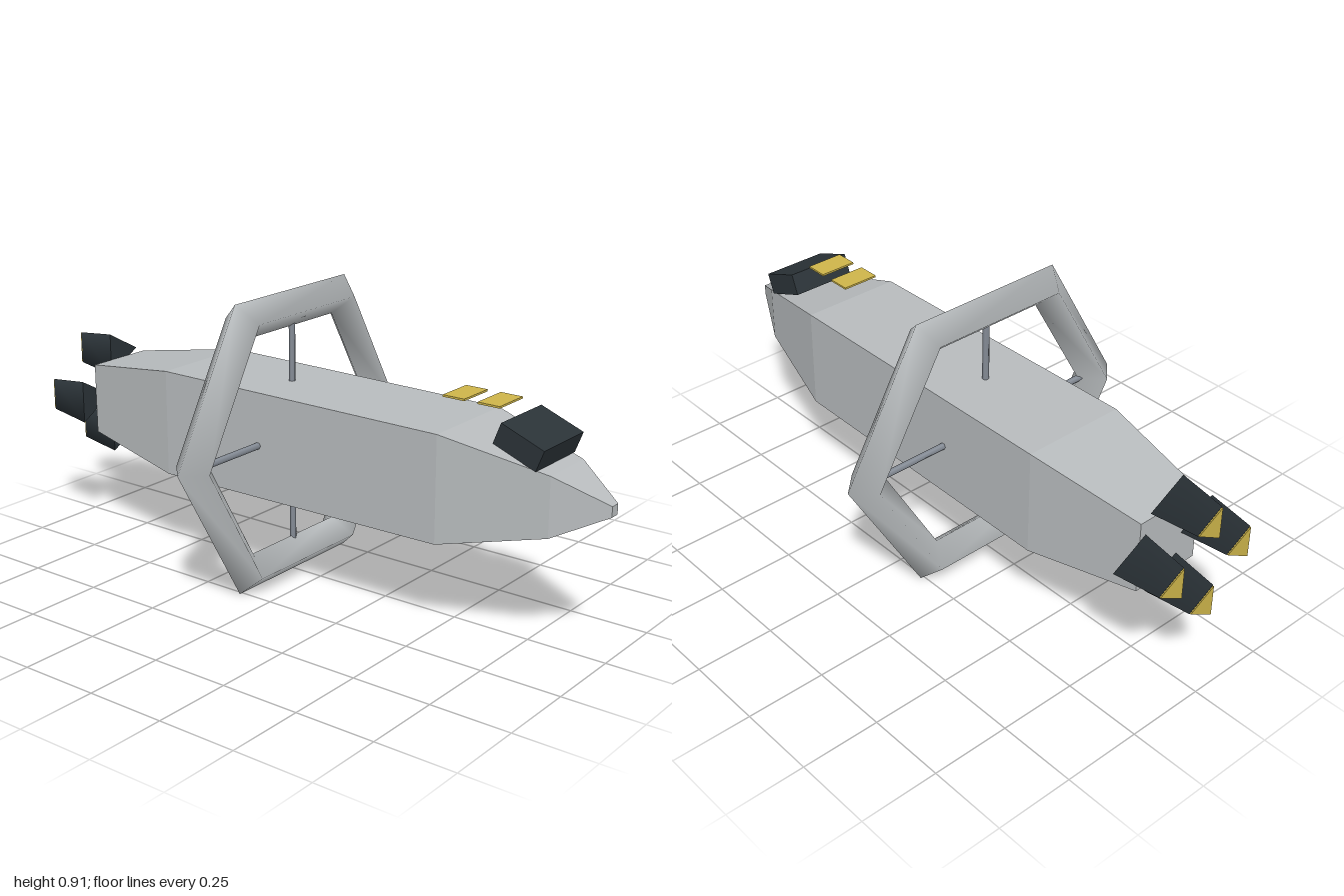
import * as THREE from 'three';

const material = (name, color) => {
  const m = new THREE.MeshStandardMaterial({ color });
  m.name = name;
  return m;
};

export function createModel() {
  const hullGrey = material('hullGrey', 0xb8bcbe);
  const strutGrey = material('strutGrey', 0x868d97);
  const darkSlate = material('darkSlate', 0x2b3338);
  const gold = material('gold', 0xceb54a);

  const AXIS_Y = 0.456;
  const RING_Z = -0.11;
  const ship = new THREE.Group();
  ship.name = 'spaceship';

  const add = (name, geometry, mat, x, y, z) => {
    const mesh = new THREE.Mesh(geometry, mat);
    mesh.name = name;
    mesh.position.set(x, y, z);
    ship.add(mesh);
    return mesh;
  };

  // Hull: a square tube lofted through [z, half width] stations, faceted
  const stations = [[-0.85, 0.115], [-0.48, 0.169], [0.53, 0.163], [0.85, 0.09], [1, 0.016]];
  let hull = new THREE.BoxGeometry(2, 2, 4, 1, 1, 4);
  const pos = hull.attributes.position;
  for (let i = 0; i < pos.count; i++) {
    const [z, half] = stations[Math.round(pos.getZ(i) + 2)];
    pos.setXYZ(i, pos.getX(i) * half, pos.getY(i) * half, z);
  }
  hull = hull.toNonIndexed();
  hull.computeVertexNormals();
  add('hull', hull, hullGrey, 0, AXIS_Y, 0);

  // Six-sided habitat ring
  add('ring', new THREE.TorusGeometry(0.458, 0.065, 4, 6), hullGrey, 0, AXIS_Y, RING_Z);

  // Four spokes and four three-sided engines around the long axis
  for (let i = 0; i < 4; i++) {
    const angle = i * Math.PI / 2;
    const cx = Math.cos(angle);
    const cy = Math.sin(angle);

    const reach = i % 2 ? 0.39 : 0.44;
    const spoke = add('spoke', new THREE.CylinderGeometry(0.0105, 0.0105, reach, 6), strutGrey,
      cx * reach / 2, AXIS_Y + cy * reach / 2, RING_Z);
    spoke.rotation.z = angle - Math.PI / 2;

    const ex = cx * 0.133;
    const ey = AXIS_Y + cy * 0.133;
    const engine = new THREE.CylinderGeometry(0.08, 0.06, 0.146, 3, 1, false, Math.PI / 2);
    add('engine', engine.rotateX(Math.PI / 2), darkSlate, ex, ey, -0.923);
    const glow = new THREE.CylinderGeometry(0.058, 0.058, 0.005, 3, 1, false, Math.PI / 2);
    add('engineGlow', glow.rotateX(Math.PI / 2), gold, ex, ey, -0.9975);
  }

  // Cockpit block tilted down along the nose
  const cockpit = add('cockpit', new THREE.BoxGeometry(0.214, 0.068, 0.147), darkSlate, 0, 0.613, 0.756);
  cockpit.rotation.x = 0.37;

  // Two thin panels floating above the forward hull
  for (const z of [0.515, 0.63]) {
    add('roofPanel', new THREE.BoxGeometry(0.122, 0.006, 0.072), gold, 0, 0.697, z);
  }

  return ship;
}
